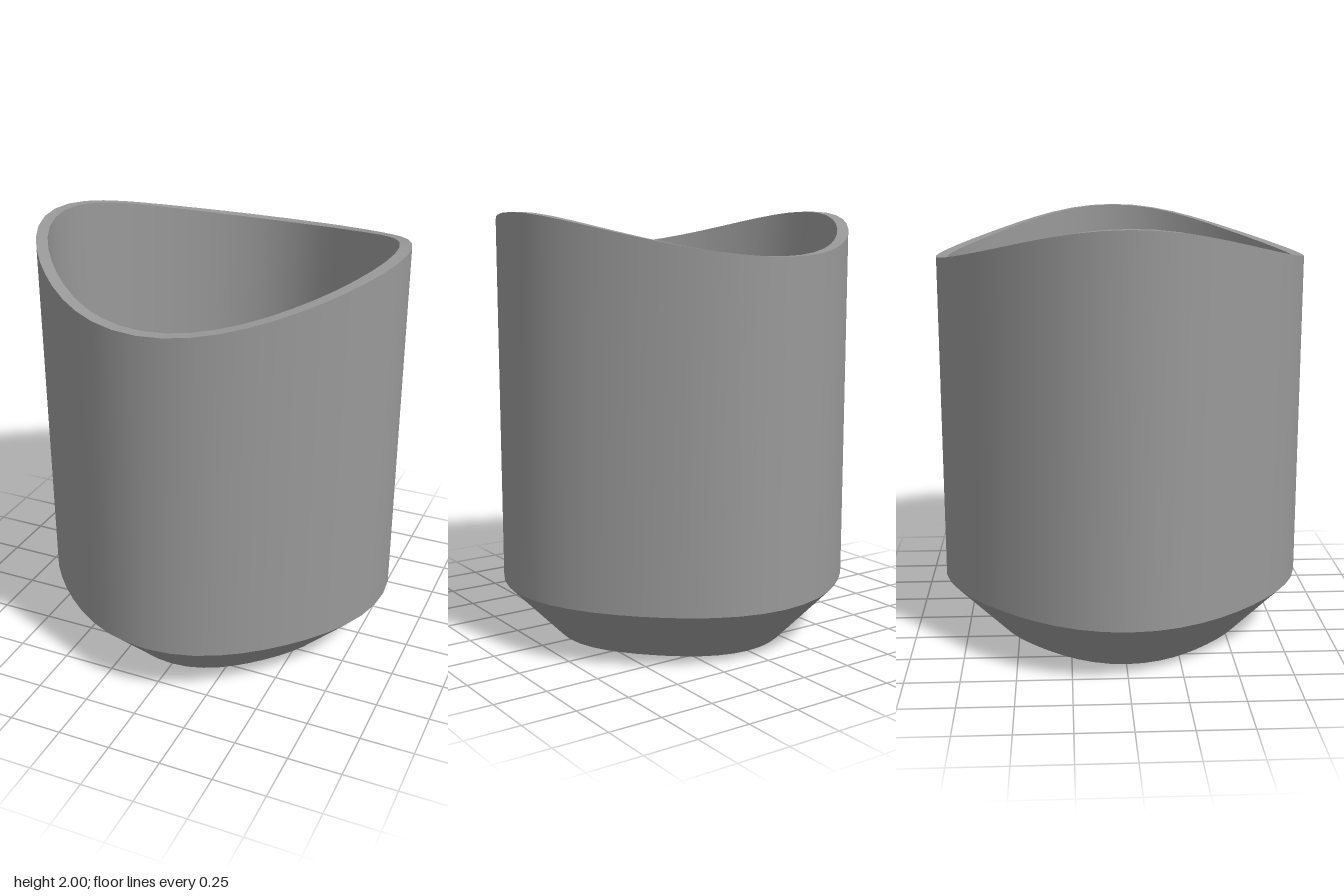
import * as THREE from 'three';

const SEGMENTS = 48;

// Radius of a rounded diamond, from its radius on the axes and on the diagonals.
const radiusAt = (axis, diagonal, a) => diagonal + (axis - diagonal) * (0.5 + 0.5 * Math.cos(4 * a));

// Ring of points around the body, with a height rule.
function ring(axis, diagonal, height) {
  const points = [];
  for (let i = 0; i < SEGMENTS; i++) {
    const a = (i / SEGMENTS) * Math.PI * 2;
    const r = radiusAt(axis, diagonal, a);
    points.push([r * Math.cos(a), height(a), r * Math.sin(a)]);
  }
  return points;
}

// Closed band of faces between two rings, smooth around the body.
function band(name, from, to, material) {
  const index = [];
  for (let i = 0; i < SEGMENTS; i++) {
    const j = (i + 1) % SEGMENTS;
    index.push(i, i + SEGMENTS, j, j, i + SEGMENTS, j + SEGMENTS);
  }
  const geometry = new THREE.BufferGeometry();
  geometry.setAttribute('position', new THREE.Float32BufferAttribute([...from, ...to].flat(), 3));
  geometry.setIndex(index);
  geometry.computeVertexNormals();
  const mesh = new THREE.Mesh(geometry, material);
  mesh.name = name;
  return mesh;
}

export function createModel() {
  const group = new THREE.Group();
  group.name = 'saddleTopSleeve';
  const material = new THREE.MeshStandardMaterial({ color: 0x999999 });

  const level = (y) => () => y;
  // Saddle-shaped mouth: high at the sides, low at front and back
  const saddle = (a) => 1.815 + 0.185 * Math.pow((radiusAt(0.865, 0.82, a) * Math.cos(a)) / 0.865, 2);

  // Rings along the outside, over the rim and down the inside of the even wall
  const footOuter = ring(0.6, 0.56, level(0));
  const shoulder = ring(0.865, 0.82, level(0.27));
  const rimOuter = ring(0.865, 0.82, saddle);
  const rimInner = ring(0.81, 0.768, saddle);
  const innerShoulder = ring(0.81, 0.768, level(0.295));
  const footInner = ring(0.555, 0.513, level(0.04));

  group.add(
    band('bevelledFoot', footOuter, shoulder, material),
    band('outerWall', shoulder, rimOuter, material),
    band('rim', rimOuter, rimInner, material),
    band('innerWall', rimInner, innerShoulder, material),
    band('innerFunnel', innerShoulder, footInner, material),
    band('bottomEdge', footInner, footOuter, material)
  );
  return group;
}
